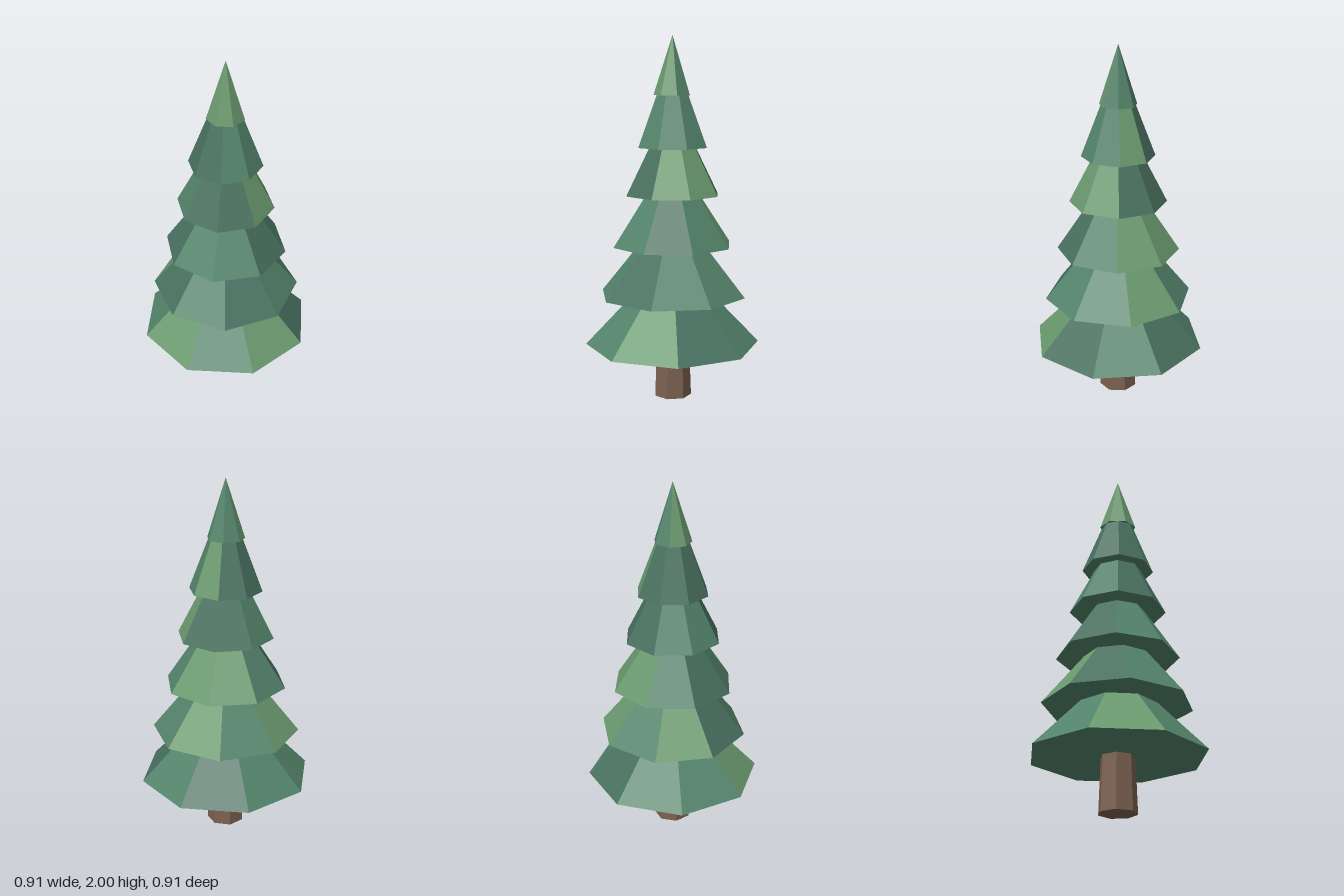
import * as THREE from 'three';

const green = (color) => new THREE.MeshStandardMaterial({ color, flatShading: true });

// Light, middle and dark foliage shades
const SHADES = [green(0x6a996e), green(0x53836a), green(0x48705f)];
const shadeIndex = { L: 0, M: 1, D: 2 };

// Each tier: base height, apex height, radius, rotation in degrees, shade of each facet
const TIERS = [
  [0.30, 0.81, 0.484, -25.1, 'LDMDMMLM'],
  [0.58, 1.09, 0.411, 0.8, 'MMLMLDMD'],
  [0.86, 1.37, 0.338, -10.3, 'DMLLMDMM'],
  [1.14, 1.66, 0.267, -8.0, 'LLDDMMDD'],
  [1.40, 1.92, 0.200, -5.9, 'MMLDDDDM'],
  [1.68, 2.00, 0.103, 30.3, 'MMMLLLL'],
];

// A closed cone whose facets each take one of the shades
function foliageTier([base, apex, radius, turn, shades]) {
  const sides = shades.length;
  const geometry = new THREE.ConeGeometry(
    radius, apex - base, sides, 1, false, THREE.MathUtils.degToRad(turn));
  const perSide = geometry.groups[0].count / sides;
  geometry.clearGroups();
  [...shades].forEach((s, i) => geometry.addGroup(i * perSide, perSide, shadeIndex[s]));
  // flat underside
  geometry.addGroup(sides * perSide, geometry.index.count - sides * perSide, 1);
  const mesh = new THREE.Mesh(geometry, SHADES);
  mesh.position.y = (base + apex) / 2;
  return mesh;
}

export function createModel() {
  const tree = new THREE.Group();
  tree.name = 'pineTree';

  // Seven-sided tapering trunk
  const trunk = new THREE.Mesh(
    new THREE.CylinderGeometry(0.093, 0.105, 0.32, 7),
    new THREE.MeshStandardMaterial({ color: 0x7a6150, flatShading: true }));
  trunk.name = 'trunk';
  trunk.position.y = 0.16;
  tree.add(trunk);

  // Stacked branches, wide at the bottom
  TIERS.forEach((tier, i) => {
    const mesh = foliageTier(tier);
    mesh.name = i === TIERS.length - 1 ? 'treeTop' : `foliageTier${i + 1}`;
    tree.add(mesh);
  });

  return tree;
}
